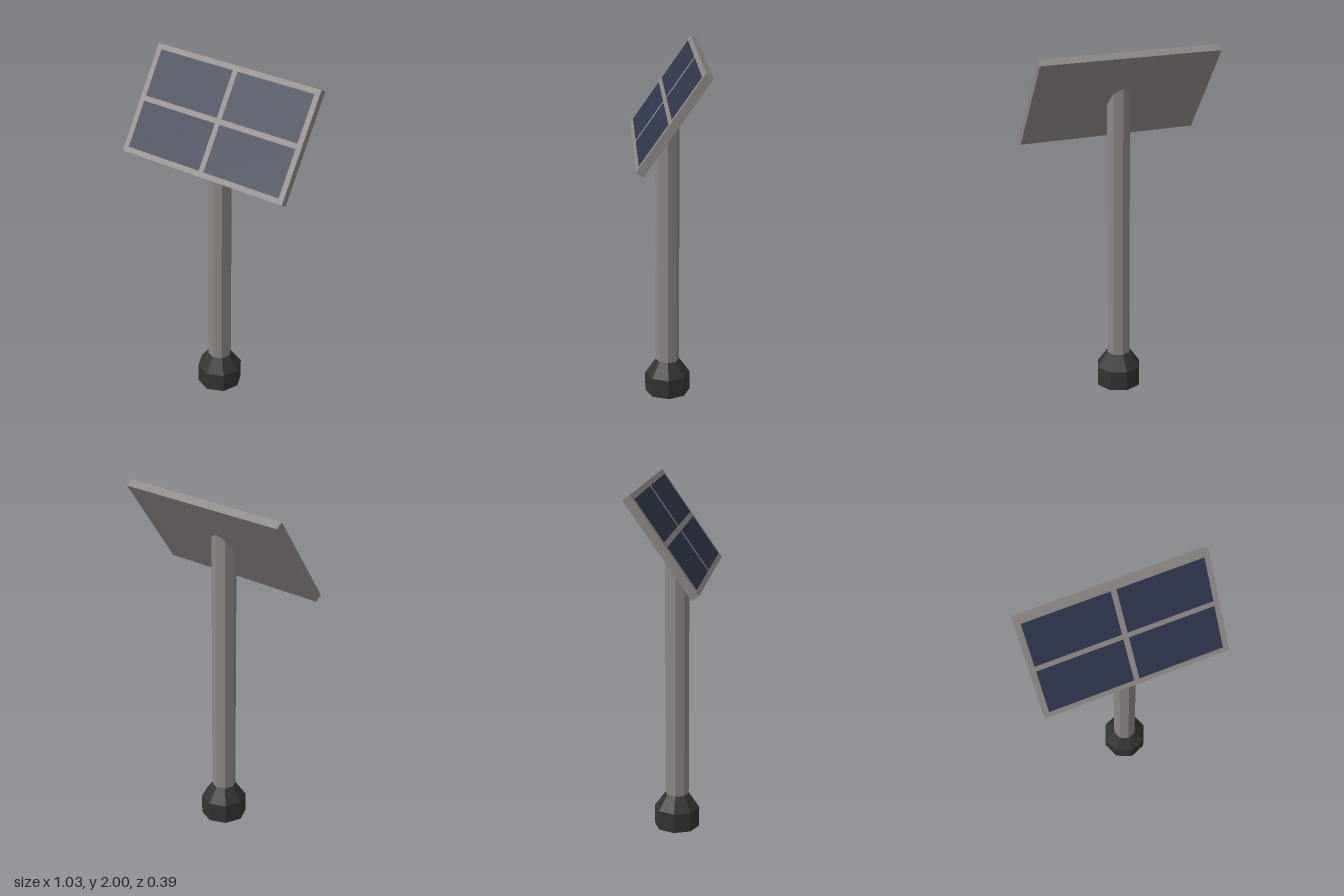
import * as THREE from 'three';

const material = (color) => new THREE.MeshStandardMaterial({ color, flatShading: true });

function addMesh(parent, name, geometry, mat, x = 0, y = 0, z = 0) {
  const mesh = new THREE.Mesh(geometry, mat);
  mesh.name = name;
  mesh.position.set(x, y, z);
  parent.add(mesh);
  return mesh;
}

export function createModel() {
  const model = new THREE.Group();
  model.name = 'solarPanel';
  const metal = material(0x8d8785);
  const dark = material(0x333333);
  const glass = material(0x2f364c);

  const sides = 8;
  const postZ = 0.007;
  const panelY = 1.735;
  const tilt = 0.608;

  // Faceted foot: straight collar with a tapered shoulder
  const footProfile = [[0, 0], [0.13, 0], [0.13, 0.115], [0.07, 0.2], [0, 0.2]]
    .map(([r, y]) => new THREE.Vector2(r, y));
  addMesh(model, 'foot', new THREE.LatheGeometry(footProfile, sides), dark, 0, 0, postZ);

  // Post, its top sheared to end inside the tilted panel
  const bottom = 0.19;
  const postGeometry = new THREE.CylinderGeometry(0.068, 0.068, 1, sides);
  postGeometry.translate(0, 0.5, postZ);
  const p = postGeometry.attributes.position;
  for (let i = 0; i < p.count; i++) {
    const top = panelY - p.getZ(i) / Math.tan(tilt);
    p.setY(i, p.getY(i) > 0.5 ? top : bottom);
  }
  postGeometry.computeVertexNormals();
  addMesh(model, 'post', postGeometry, metal);

  // Tilted panel with a two by two set of cells flush in its face
  const panel = new THREE.Group();
  panel.name = 'panel';
  panel.position.y = panelY;
  panel.rotation.x = -tilt;
  model.add(panel);

  const width = 1.03, height = 0.62, depth = 0.047, border = 0.03;
  addMesh(panel, 'frame', new THREE.BoxGeometry(width, height, depth), metal);

  const cellW = (width - 3 * border) / 2;
  const cellH = (height - 3 * border) / 2;
  const cellGeometry = new THREE.PlaneGeometry(cellW, cellH);
  for (const sx of [-1, 1]) {
    for (const sy of [-1, 1]) {
      const name = (sy > 0 ? 'upper' : 'lower') + (sx > 0 ? 'Left' : 'Right') + 'Cell';
      addMesh(panel, name, cellGeometry, glass,
        sx * (cellW + border) / 2, sy * (cellH + border) / 2, depth / 2 + 0.001);
    }
  }

  return model;
}
